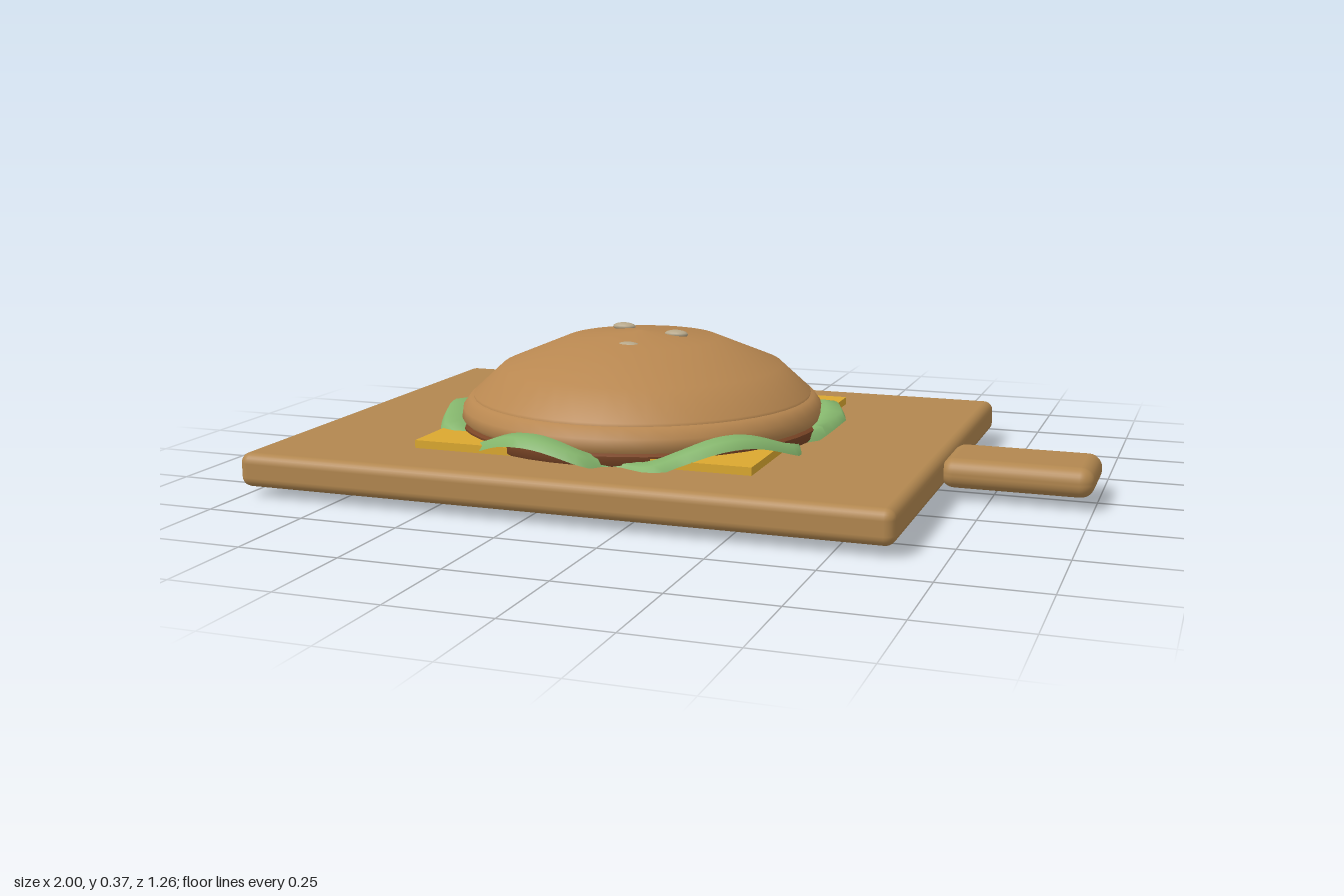
import * as THREE from 'three';
import { RoundedBoxGeometry } from 'three/addons/geometries/RoundedBoxGeometry.js';
import { toCreasedNormals } from 'three/addons/utils/BufferGeometryUtils.js';

const material = (name, color, side = THREE.FrontSide) => {
  const m = new THREE.MeshStandardMaterial({ color, side });
  m.name = name;
  return m;
};

export function createModel() {
  const wood = material('wood', 0xb2874f);
  const crust = material('bun crust', 0xb88750);
  const crumb = material('pale crumb', 0xb5a688);
  const cheeseYellow = material('cheese yellow', 0xdba82f);
  const leaf = material('lettuce green', 0x84b56c, THREE.DoubleSide);
  const meat = material('patty brown', 0x7a4526);

  const model = new THREE.Group();
  const add = (parent, name, geometry, mat, x = 0, y = 0, z = 0) => {
    const mesh = new THREE.Mesh(geometry, mat);
    mesh.name = name;
    mesh.position.set(x, y, z);
    parent.add(mesh);
    return mesh;
  };
  const lathe = (points) =>
    new THREE.LatheGeometry(points.map(([r, y]) => new THREE.Vector2(r, y)), 48);

  // Cutting board with its handle
  add(model, 'board', new RoundedBoxGeometry(1.64, 0.085, 1.26, 3, 0.025), wood, -0.18, 0.0675, 0);
  add(model, 'handle', new RoundedBoxGeometry(0.37, 0.074, 0.215, 4, 0.034), wood, 0.815, 0.067, 0);

  const burger = new THREE.Group();
  burger.name = 'burger';
  burger.position.x = -0.18;
  model.add(burger);

  // Bottom bun, showing through the underside of the board
  add(burger, 'bottomBun', lathe([[0, 0], [0.44, 0], [0.465, 0.045], [0.46, 0.1], [0, 0.1]]), crumb);

  // Patty and cheese slice
  add(burger, 'patty', toCreasedNormals(
    lathe([[0, 0.1], [0.46, 0.1], [0.473, 0.115], [0.473, 0.135], [0.45, 0.15], [0, 0.15]]), 0.9), meat);
  add(burger, 'cheese', new THREE.BoxGeometry(0.875, 0.022, 0.875), cheeseYellow, 0, 0.119, -0.003);

  // Top bun: outer lip, then the dome
  add(burger, 'bunLip', lathe([[0.455, 0.13], [0.472, 0.15], [0.468, 0.175], [0.45, 0.2], [0.42, 0.203]]), crust);
  add(burger, 'topBun', lathe([[0.44, 0.195], [0.44, 0.208], [0.365, 0.277], [0.2, 0.345], [0, 0.364]]), crust);

  // Sesame seeds
  for (const [x, y, z] of [[-0.083, 0.357, -0.08], [0.092, 0.357, -0.005], [0.015, 0.344, 0.137]]) {
    const seed = add(burger, 'sesameSeed', new THREE.SphereGeometry(1, 14, 10), crumb, x, y, z);
    seed.scale.set(0.032, 0.011, 0.018);
  }

  // Ruffled lettuce: [angle in degrees, outer radius] round the bun
  const rim = [
    [0, 0.5], [10, 0.465], [15, 0.49], [22, 0.53], [35, 0.53], [45, 0.53], [60, 0.52], [68, 0.535],
    [76, 0.475], [80, 0.47], [85, 0.51], [105, 0.53], [120, 0.51], [135, 0.48], [147, 0.53],
    [165, 0.51], [175, 0.48], [188, 0.535], [200, 0.5], [215, 0.53], [230, 0.54], [245, 0.52],
    [255, 0.48], [262, 0.52], [270, 0.545], [280, 0.54], [295, 0.52], [305, 0.52], [318, 0.47],
    [330, 0.49], [340, 0.52], [351, 0.535], [360, 0.5],
  ];
  const radiusAt = (deg) => {
    const i = Math.max(1, rim.findIndex(([a]) => a >= deg));
    const [a0, r0] = rim[i - 1], [a1, r1] = rim[i];
    return r0 + (r1 - r0) * (deg - a0) / (a1 - a0);
  };
  const steps = 120, rows = 3;
  const positions = [], indices = [];
  for (let i = 0; i <= steps; i++) {
    const deg = i * 360 / steps, a = THREE.MathUtils.degToRad(deg);
    const outer = radiusAt(deg);
    const wave = 0.138 + 0.028 * Math.cos(6 * (a - THREE.MathUtils.degToRad(43)));
    const section = [[0.41, wave - 0.005], [(0.43 + outer) / 2, wave + 0.012],
      [outer - 0.012, wave + 0.008], [outer, wave - 0.014]];
    for (const [r, y] of section) positions.push(r * Math.cos(a), y, r * Math.sin(a));
    if (i === steps) break;
    for (let j = 0; j < rows; j++) {
      const p = i * (rows + 1) + j, q = p + rows + 1;
      indices.push(p, q, p + 1, q, q + 1, p + 1);
    }
  }
  const lettuce = new THREE.BufferGeometry();
  lettuce.setAttribute('position', new THREE.Float32BufferAttribute(positions, 3));
  lettuce.setIndex(indices);
  lettuce.computeVertexNormals();
  add(burger, 'lettuce', lettuce, leaf);

  return model;
}
